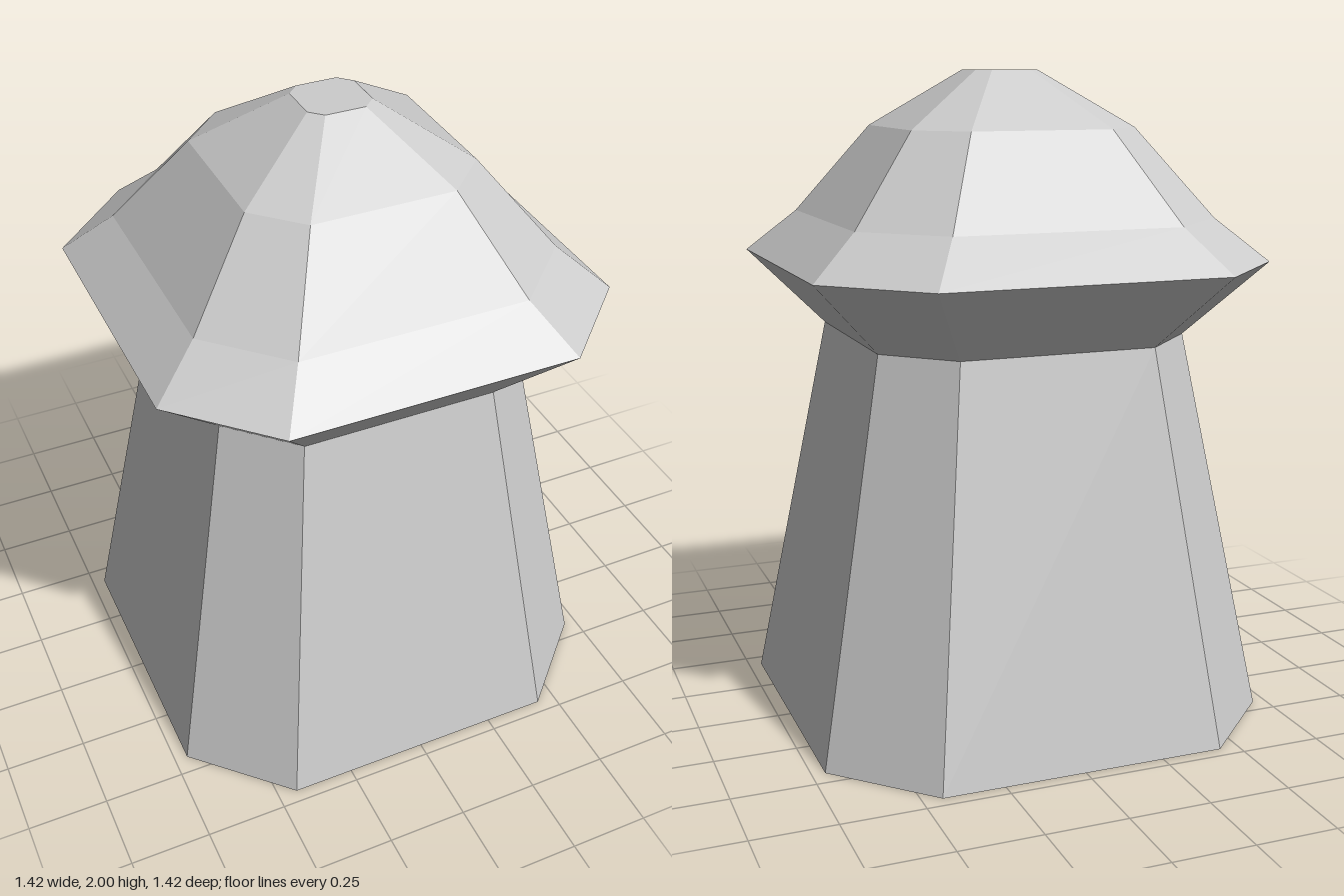
import * as THREE from 'three';

// Corner of the chamfered square, as a share of its half width
const K = 0.62;
const OUTLINE = [[1, K], [1, -K], [K, -1], [-K, -1], [-1, -K], [-1, K], [-K, 1], [K, 1]];

// Stacks chamfered-square rings given as [halfWidth, y] from bottom to top
function stack(profile, { bottom = false, top = false }) {
  const rings = profile.map(([r, y]) => OUTLINE.map(([x, z]) => [x * r, y, z * r]));
  const positions = [];
  const tri = (a, b, c) => positions.push(...a, ...b, ...c);
  const n = OUTLINE.length;

  for (let j = 0; j < rings.length - 1; j++) {
    for (let i = 0; i < n; i++) {
      const k = (i + 1) % n;
      const [low, high] = [rings[j], rings[j + 1]];
      tri(low[i], low[k], high[k]);
      tri(low[i], high[k], high[i]);
    }
  }
  // End caps
  const first = rings[0];
  const last = rings[rings.length - 1];
  for (let i = 1; i < n - 1; i++) {
    if (bottom) tri(first[0], first[i + 1], first[i]);
    if (top) tri(last[0], last[i], last[i + 1]);
  }

  const geometry = new THREE.BufferGeometry();
  geometry.setAttribute('position', new THREE.Float32BufferAttribute(positions, 3));
  geometry.computeVertexNormals();
  return geometry;
}

export function createModel() {
  const model = new THREE.Group();
  model.name = 'domedTower';
  const material = new THREE.MeshStandardMaterial({ color: 0xcccccc, flatShading: true });

  const add = (name, profile, caps) => {
    const mesh = new THREE.Mesh(stack(profile, caps), material);
    mesh.name = name;
    model.add(mesh);
  };

  // Tapered body
  add('body', [[0.71, 0], [0.49, 1.2]], { bottom: true });
  // Flared eaves and faceted dome
  add('roof', [[0.49, 1.2], [0.71, 1.43], [0.565, 1.56], [0.355, 1.83], [0.1, 2]], { top: true });

  return model;
}
